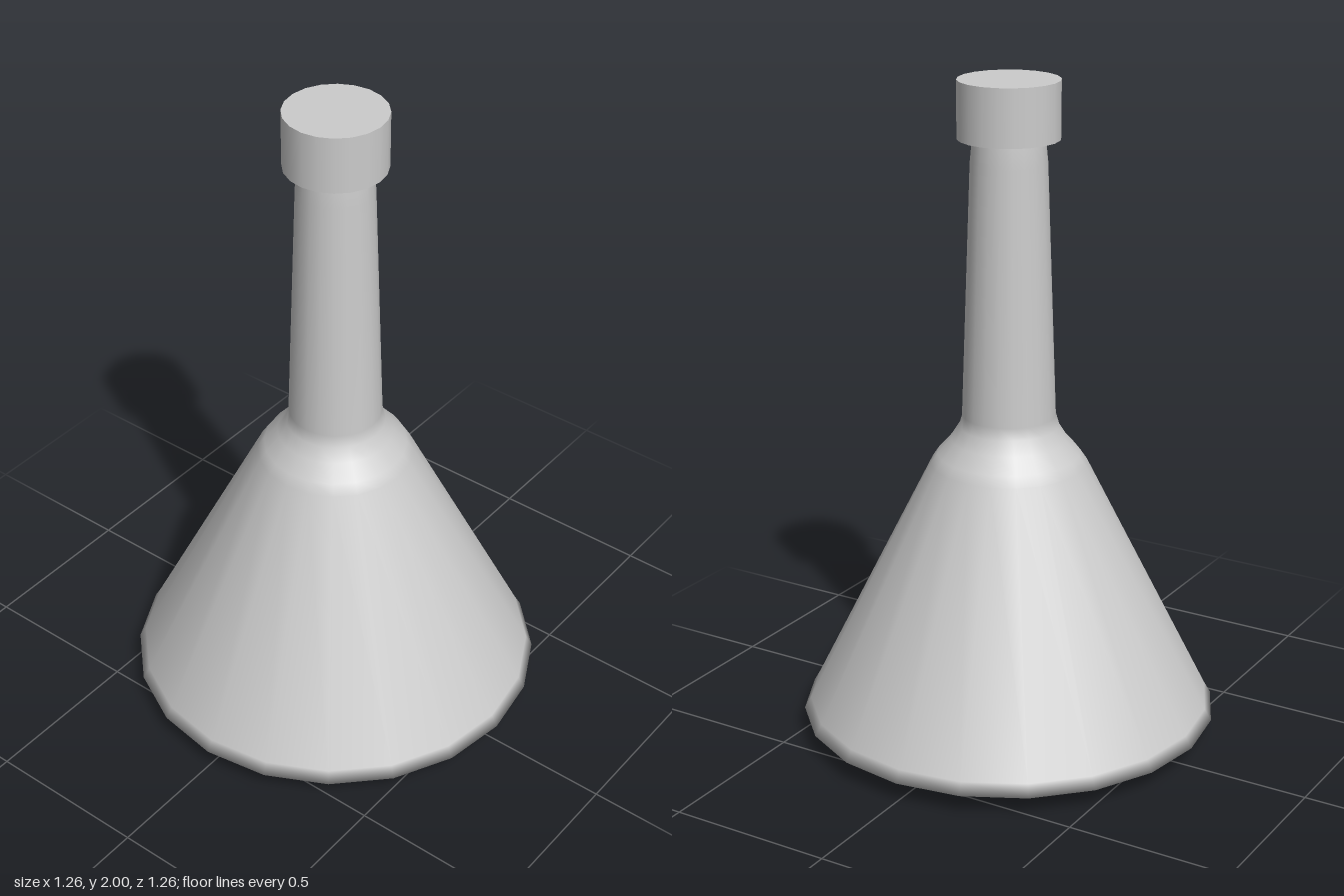
import * as THREE from 'three';

const SIDES = 20;

export function createModel() {
  const group = new THREE.Group();
  const material = new THREE.MeshStandardMaterial({ color: 0xcccccc });

  // Flask: shallow conical base, flared body, curved shoulder and tapering neck
  const profile = [
    [0, 0], [0.632, 0.06], [0.612, 0.095],
    [0.235, 0.85], [0.215, 0.88], [0.175, 0.925], [0.15, 0.965], [0.14, 1.0],
    [0.113, 1.76], [0.105, 1.84],
  ].map(([r, y]) => new THREE.Vector2(r, y));
  const flask = new THREE.Mesh(new THREE.LatheGeometry(profile, SIDES), material);
  flask.name = 'flask';
  group.add(flask);

  // Stopper: plain cylinder sitting just off the axis
  const height = 0.17;
  const stopper = new THREE.Mesh(
    new THREE.CylinderGeometry(0.15, 0.15, height, SIDES), material);
  stopper.position.set(0.005, 2 - height / 2, -0.003);
  stopper.name = 'stopper';
  group.add(stopper);

  return group;
}
